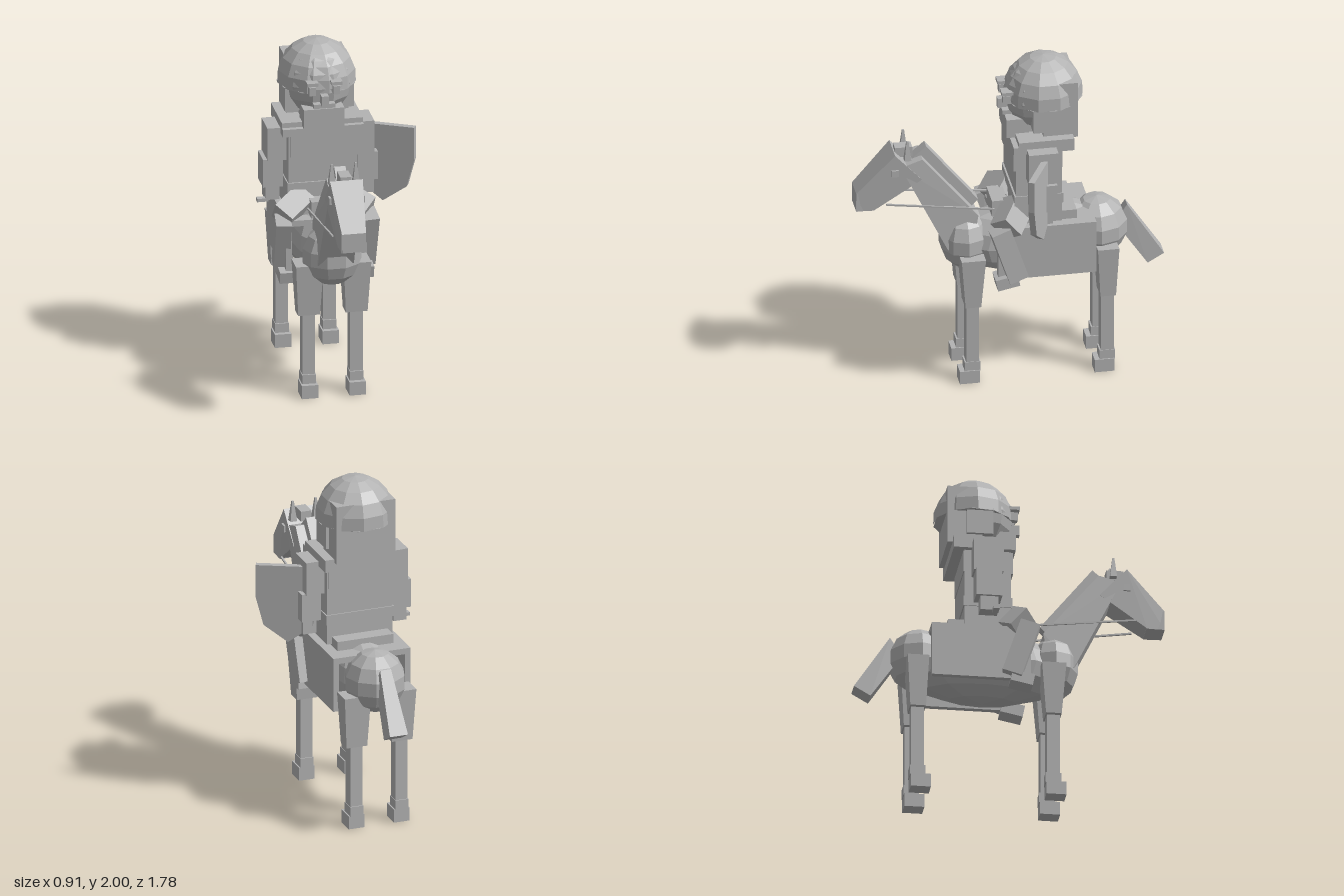
import * as THREE from 'three';
import { ConvexGeometry } from 'three/addons/geometries/ConvexGeometry.js';

export function createModel() {
  const model = new THREE.Group();
  model.name = 'mountedRider';
  const figure = new THREE.Group();
  figure.name = 'horseAndRider';
  figure.position.x = -0.095; // the shield side reaches further out
  model.add(figure);

  const grey = new THREE.MeshStandardMaterial({ color: 0xb2b2b2, flatShading: true });
  grey.name = 'stone grey';

  const add = (name, geometry, x = 0, y = 0, z = 0) => {
    const mesh = new THREE.Mesh(geometry, grey);
    mesh.name = name;
    mesh.position.set(x, y, z);
    figure.add(mesh);
    return mesh;
  };
  // Box given by its x centre, width, y range and z range
  const box = (name, x, w, y0, y1, z0, z1) =>
    add(name, new THREE.BoxGeometry(w, y1 - y0, z1 - z0), x, (y0 + y1) / 2, (z0 + z1) / 2);
  // Tapered slab from [z, y, halfWidth] corners
  const slab = (name, corners) => add(name, new ConvexGeometry(corners.flatMap(([z, y, w]) =>
    [new THREE.Vector3(-w, y, z), new THREE.Vector3(w, y, z)])));
  // Low-poly ellipsoid
  const blob = (name, y, z, rx, ry, rz, cols = 10, rows = 7) => {
    const geometry = new THREE.SphereGeometry(1, cols, rows);
    geometry.scale(rx, ry, rz);
    return add(name, geometry, 0, y, z);
  };
  // Square bar between two points
  const bar = (name, a, b, w, d) => {
    const from = new THREE.Vector3(...a), to = new THREE.Vector3(...b);
    const dir = to.clone().sub(from);
    const mesh = add(name, new THREE.BoxGeometry(w, dir.length(), d));
    mesh.position.copy(from).add(to).multiplyScalar(0.5);
    mesh.quaternion.setFromUnitVectors(new THREE.Vector3(0, 1, 0), dir.normalize());
    return mesh;
  };
  const sides = [['left', 1], ['right', -1]];

  // Horse body
  blob('barrel', 0.84, -0.15, 0.2, 0.22, 0.5, 10, 8);
  blob('chest', 0.86, 0.255, 0.175, 0.185, 0.15);
  blob('rump', 0.865, -0.51, 0.18, 0.185, 0.18);
  slab('neck', [[0.637, 1.39, 0.09], [0.51, 1.43, 0.085], [0.19, 1.04, 0.1], [0.22, 0.86, 0.1], [0.366, 0.835, 0.105]]);
  slab('mane', [[0.48, 1.485, 0.033], [0.18, 1.11, 0.033], [0.25, 1.04, 0.033], [0.59, 1.39, 0.033]]);
  slab('head', [[0.67, 1.475, 0.095], [0.515, 1.305, 0.095], [0.79, 1.12, 0.075], [0.89, 1.12, 0.068], [0.89, 1.235, 0.07]]);
  box('muzzle', 0, 0.142, 1.12, 1.235, 0.785, 0.888);
  box('forelock', 0, 0.065, 1.43, 1.49, 0.56, 0.66);
  slab('tail', [[-0.68, 0.99, 0.033], [-0.61, 0.88, 0.033], [-0.89, 0.665, 0.055], [-0.795, 0.61, 0.055]]);
  for (const [side, s] of sides) {
    const ear = add(side + 'Ear', new THREE.CylinderGeometry(0.008, 0.028, 0.12, 4), s * 0.07, 1.49, 0.595);
    ear.rotation.y = Math.PI / 4;
    box(side + 'HorseEye', s * 0.09, 0.025, 1.34, 1.38, 0.65, 0.69);
    bar(side + 'Rein', [s * 0.09, 1.16, 0.72], [s * 0.11, 1.08, 0.1], 0.01, 0.01);
  }

  // Horse legs, with tapering thighs, fetlocks and hooves
  for (const [end, z] of [['front', 0.237], ['hind', -0.541]]) {
    for (const [side, s] of sides) {
      const x = s * 0.138;
      const name = (part) => end + side[0].toUpperCase() + side.slice(1) + part;
      const depth = end === 'front' ? 0.07 : 0.062;
      const thigh = [];
      for (const [y, w, d] of [[0.81, 0.08, depth], [0.5, 0.063, 0.045]])
        for (const i of [-1, 1]) for (const j of [-1, 1])
          thigh.push(new THREE.Vector3(i * w, y, j * d));
      add(name('Thigh'), new ConvexGeometry(thigh), x, 0, z);
      box(name('Shin'), x, 0.073, 0.1, 0.52, z - 0.037, z + 0.037);
      box(name('Fetlock'), x, 0.08, 0.075, 0.135, z - 0.044, z + 0.046);
      box(name('Hoof'), x, 0.095, 0, 0.08, z - 0.04, z + 0.075);
    }
  }

  // Saddle cloth and saddle
  box('clothTop', 0, 0.47, 0.975, 1.01, -0.467, 0.1);
  for (const [side, s] of sides)
    box(side + 'ClothFlap', s * 0.218, 0.034, 0.685, 1.01, -0.467, 0.1);
  box('saddleSeat', 0, 0.34, 1.0, 1.065, -0.365, 0.02);
  box('saddlePommel', 0, 0.18, 1.02, 1.12, 0.02, 0.11);

  // Rider torso
  box('torso', 0, 0.4, 1.02, 1.5, -0.275, -0.01);
  box('belt', 0, 0.412, 1.14, 1.2, -0.282, 0);
  box('chestPlate', 0, 0.38, 1.36, 1.49, -0.28, 0.005);
  box('shoulderCape', 0, 0.47, 1.49, 1.535, -0.34, 0.01);
  box('capeCollar', 0, 0.47, 1.525, 1.565, -0.34, -0.02);
  box('neckBlock', 0, 0.22, 1.5, 1.62, -0.28, -0.05);
  box('chinGuard', 0, 0.235, 1.54, 1.655, -0.1, 0.03);

  // Rider limbs
  for (const [side, s] of sides) {
    box(side + 'UpperArm', s * 0.207, 0.205, 1.32, 1.52, -0.235, -0.065);
    box(side + 'Forearm', s * 0.275, 0.115, 1.155, 1.325, -0.225, -0.075);
    box(side + 'Hand', s * 0.275, 0.08, 1.07, 1.16, -0.2, -0.095);
    bar(side + 'RiderThigh', [s * 0.1, 1.1, -0.04], [s * 0.25, 1.02, 0.06], 0.14, 0.13);
    bar(side + 'RiderShin', [s * 0.25, 1.02, 0.095], [s * 0.245, 0.7, -0.01], 0.09, 0.115);
    const boot = box(side + 'Boot', s * 0.215, 0.115, 0.645, 0.715, -0.015, 0.115);
    boot.rotation.x = 0.2;
  }
  box('grip', -0.33, 0.065, 1.06, 1.08, -0.13, -0.095);

  // Shield on the left arm
  const outline = new THREE.Shape([[-0.185, 1.475], [0.185, 1.475], [0.185, 1.28], [0.14, 1.11], [0, 1.01], [-0.14, 1.11], [-0.185, 1.28]]
    .map(([x, y]) => new THREE.Vector2(x, y)));
  const shieldGeometry = new THREE.ExtrudeGeometry(outline, { depth: 0.036, bevelEnabled: false });
  shieldGeometry.translate(0, 0, -0.018);
  add('shield', shieldGeometry, 0.375, 0, -0.12).rotation.y = -0.47;

  // Rider head, helmet dome and square hair block
  blob('riderHead', 1.77, -0.17, 0.205, 0.215, 0.2, 10, 8);
  const dome = new THREE.SphereGeometry(0.228, 11, 5, 0, Math.PI * 2, 0, Math.PI / 2 + 0.12);
  add('helmetDome', dome, 0, 1.772, -0.2);
  add('helmetBase', new THREE.CylinderGeometry(0.226, 0.226, 0.004, 11), 0, 1.746, -0.2);
  box('hairBlock', 0, 0.36, 1.545, 1.895, -0.37, -0.17);
  box('hairFringe', 0, 0.4, 1.6, 1.76, -0.26, -0.11);

  // Face
  for (const [side, s] of sides) {
    box(side + 'Eye', s * 0.07, 0.037, 1.745, 1.795, -0.02, 0.045);
    box(side + 'Brow', s * 0.07, 0.065, 1.805, 1.825, -0.02, 0.055);
  }
  box('nose', 0, 0.042, 1.685, 1.745, -0.02, 0.065);
  box('mouth', 0, 0.125, 1.665, 1.69, -0.04, 0.045);

  return model;
}
